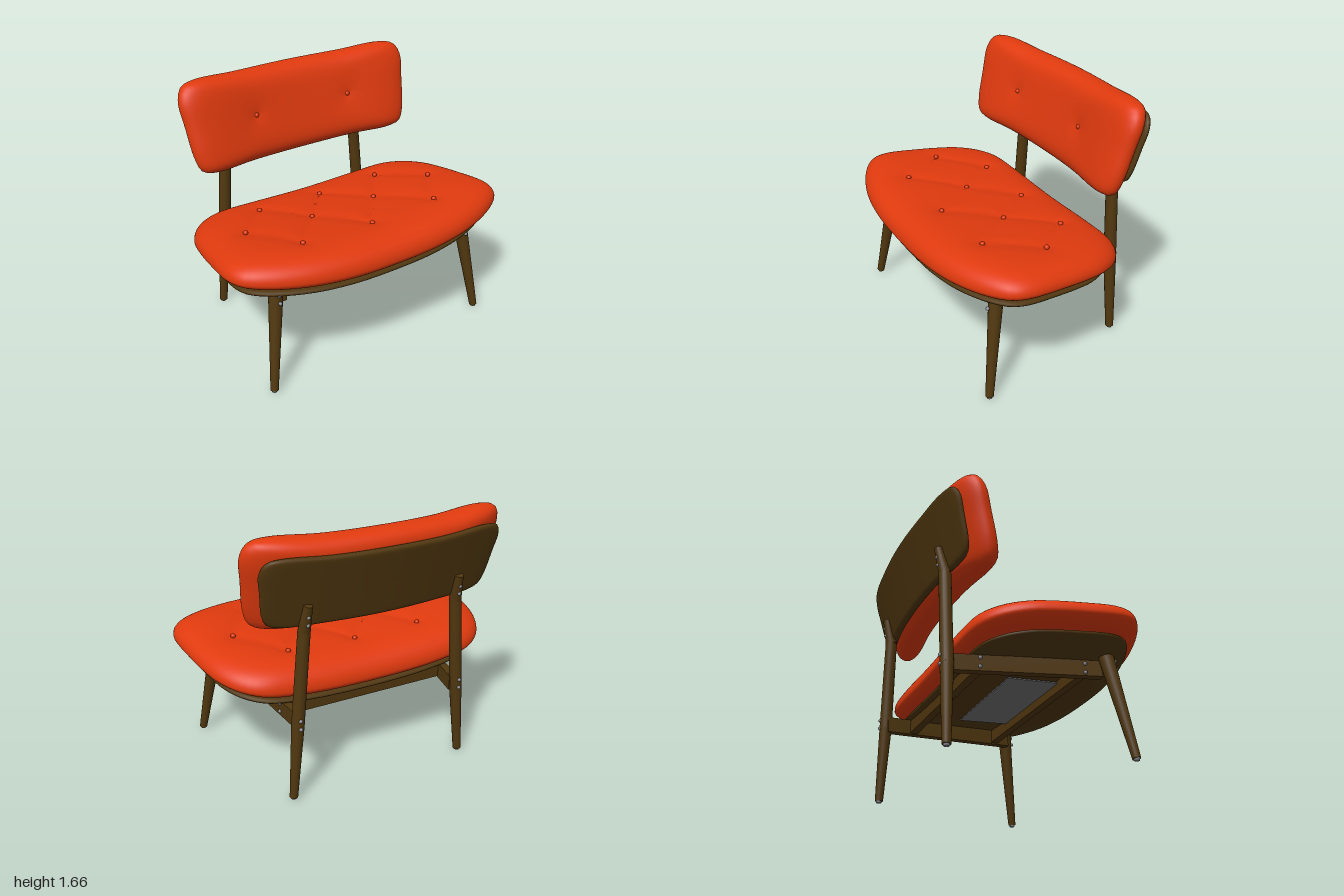
import * as THREE from 'three';

const mat = (name, color) => Object.assign(new THREE.MeshStandardMaterial({ color }), { name });

export function createModel() {
  const chair = new THREE.Group();
  chair.name = 'loungeChair';
  const fabric = mat('orangeFabric', 0xe03a0e);
  const wood = mat('darkWood', 0x50370f);
  const steel = mat('steel', 0x8c8c92);
  const lining = mat('greyLining', 0x757272);

  const add = (name, geo, material, pos = [0, 0, 0]) => {
    const m = new THREE.Mesh(geo, material);
    m.name = name;
    m.position.set(...pos);
    chair.add(m);
    return m;
  };

  // Closed outline mirrored from its +x half, listed bottom to top in (u, v)
  const outline = (half, n = 120) => {
    const mirrored = half.slice(1, -1).reverse().map(([u, v]) => [-u, v]);
    const pts = [...half, ...mirrored].map(([u, v]) => new THREE.Vector3(u, v, 0));
    return new THREE.CatmullRomCurve3(pts, true).getSpacedPoints(n).slice(0, n);
  };

  // Pillow surface: scaled outline rings running from upper centre over the rim to lower centre
  function pad({ edge, cv, su = 1, sv = 1, up, down, power, rings, place, dent = () => 0 }) {
    const pos = [], idx = [], n = edge.length;
    for (let j = 0; j <= rings; j++) {
      const a = (j / rings) * Math.PI;
      const s = Math.min(1, Math.sin(a));
      const k = Math.sqrt(Math.max(0, 1 - s ** power));
      edge.forEach((p, i) => {
        const u = p.x * s * su, v = cv + (p.y - cv) * s * sv;
        const h = a <= Math.PI / 2
          ? up[0] + (up[1] - up[0]) * k - dent(u, v) * k
          : up[0] + (down - up[0]) * k;
        pos.push(...place(u, v, h));
        const b = j * n + i, c = j * n + (i + 1) % n;
        if (j < rings) idx.push(b, b + n, c + n, b, c + n, c);
      });
    }
    const g = new THREE.BufferGeometry();
    g.setAttribute('position', new THREE.Float32BufferAttribute(pos, 3));
    g.setIndex(idx);
    g.computeVertexNormals();
    return g;
  }

  // Seat: dished across, sloping down to the back (u = x, v = -z, h = height)
  const seatMid = (x, z) => 0.695 + 0.08 * z + 0.07 * x * x;
  const seatPlace = (u, v, h) => [u, seatMid(u, -v) + h, -v];
  const seatEdge = outline([
    [0, -0.685], [0.35, -0.675], [0.62, -0.63], [0.85, -0.54], [0.965, -0.45], [1, -0.35],
    [0.985, -0.1], [0.965, 0.05], [0.93, 0.2], [0.85, 0.34], [0.73, 0.43], [0.5, 0.465], [0, 0.472],
  ]);

  // Tufting: buttons joined by diagonal creases
  const tufts = [
    [-0.46, -0.21], [0, -0.21], [0.46, -0.21],
    [-0.71, 0.06], [-0.24, 0.07], [0.24, 0.07], [0.71, 0.06],
    [-0.5, 0.37], [0, 0.38], [0.5, 0.37],
  ];
  const creases = [];
  tufts.forEach((a, i) => tufts.slice(i + 1).forEach((b) => {
    if (Math.abs(a[1] - b[1]) > 0.1 && Math.hypot(a[0] - b[0], a[1] - b[1]) < 0.42) creases.push([a, b]);
  }));
  const segDist = (x, z, [[ax, az], [bx, bz]]) => {
    const dx = bx - ax, dz = bz - az;
    const t = THREE.MathUtils.clamp(((x - ax) * dx + (z - az) * dz) / (dx * dx + dz * dz), 0, 1);
    return Math.hypot(x - ax - t * dx, z - az - t * dz);
  };
  const seatDent = (u, v) => {
    const line = Math.min(...creases.map((c) => segDist(u, -v, c)));
    const spot = Math.min(...tufts.map(([x, z]) => Math.hypot(u - x, -v - z)));
    return 0.016 * Math.exp(-line / 0.05) + 0.012 * Math.exp(-spot / 0.05);
  };
  add('seatCushion', pad({
    edge: seatEdge, cv: -0.1, up: [0, 0.15], down: -0.085, power: 6, rings: 84, place: seatPlace, dent: seatDent,
  }), fabric);
  add('seatBoard', pad({
    edge: seatEdge, cv: -0.1, su: 0.93, sv: 0.9, up: [-0.098, -0.075], down: -0.115, power: 30, rings: 26, place: seatPlace,
  }), wood);
  const buttonGeo = new THREE.SphereGeometry(0.016, 14, 10);
  for (const [x, z] of tufts) add('seatButton', buttonGeo, fabric, [x, seatMid(x, z) + 0.128, z]);

  // Backrest: leaning and bowed around the sitter (u = x, v = y, h = forward)
  const backZ = (x, y) => -0.46 - 0.28 * (y - 1.2) + 0.14 * x * x;
  const backPlace = (u, v, h) => [u, v + 0.2 * h, backZ(u, v) + h];
  const backEdge = outline([
    [0, 1.08], [0.4, 1.085], [0.68, 1.09], [0.765, 1.12], [0.8, 1.2], [0.825, 1.4],
    [0.838, 1.56], [0.8, 1.635], [0.71, 1.656], [0.4, 1.642], [0, 1.64],
  ]);
  const backDent = (u, v) => 0.02 * Math.exp(-Math.hypot(Math.abs(u) - 0.35, v - 1.37) / 0.06);
  add('backCushion', pad({
    edge: backEdge, cv: 1.37, up: [0, 0.12], down: -0.1, power: 6, rings: 72, place: backPlace, dent: backDent,
  }), fabric);
  add('backPanel', pad({
    edge: backEdge, cv: 1.365, su: 0.93, sv: 0.78, up: [-0.11, -0.085], down: -0.13, power: 30, rings: 26, place: backPlace,
  }), wood);

  // Frame helpers
  const Y = new THREE.Vector3(0, 1, 0);
  const rod = (name, a, b, ra, rb) => {
    const p = new THREE.Vector3(...a), d = new THREE.Vector3(...b).sub(p);
    const m = add(name, new THREE.CylinderGeometry(rb, ra, d.length(), 20), wood);
    m.position.copy(p).addScaledVector(d, 0.5);
    m.quaternion.setFromUnitVectors(Y, d.normalize());
  };
  const boltGeo = new THREE.SphereGeometry(0.012, 10, 8);
  const bolt = (x, y, z) => add('bolt', boltGeo, steel, [x, y, z]);
  const footGeo = new THREE.CylinderGeometry(0.02, 0.016, 0.016, 16);

  for (const s of [1, -1]) {
    add('backButton', buttonGeo, fabric, [s * 0.35, 1.39, backZ(0.35, 1.37) + 0.1]);

    // Legs with small glides
    rod('frontLeg', [s * 0.805, 0.012, 0.5], [s * 0.712, 0.655, 0.4], 0.025, 0.046);
    rod('rearLegLower', [s * 0.597, 0.012, -0.545], [s * 0.557, 0.5, -0.54], 0.026, 0.04);
    rod('rearLegUpper', [s * 0.557, 0.5, -0.54], [s * 0.51, 1.1, -0.548], 0.04, 0.038);
    rod('rearLegTip', [s * 0.51, 1.1, -0.548], [s * 0.5, 1.27, -0.59], 0.038, 0.026);
    add('foot', footGeo, steel, [s * 0.805, 0.008, 0.5]);
    add('foot', footGeo, steel, [s * 0.597, 0.008, -0.545]);

    // Side rail
    const a = new THREE.Vector3(s * 0.66, 0.588, 0.39), b = new THREE.Vector3(s * 0.535, 0.512, -0.54);
    const rail = add('sideRail', new THREE.BoxGeometry(0.05, 0.1, a.distanceTo(b)), wood);
    rail.position.copy(a).add(b).multiplyScalar(0.5);
    rail.lookAt(a);

    // Bolts
    for (const y of [0.58, 0.63]) bolt(s * 0.72, y, 0.41 + 0.045 + (0.63 - y) * 0.15);
    for (const y of [0.55, 0.605]) bolt(s * 0.672, y, 0.28);
    for (const y of [0.505, 0.56]) bolt(s * 0.587, y, -0.35);
    for (const y of [0.49, 0.545]) bolt(s * 0.556, y, -0.58);
    for (const y of [1.15, 1.2]) bolt(s * 0.505, y, -0.592 - (y - 1.15) * 0.15);
  }

  // Cross rails and the lining under the seat
  add('frontCrossRail', new THREE.BoxGeometry(1.28, 0.085, 0.05), wood, [0, 0.58, 0.28]);
  add('rearCrossRail', new THREE.BoxGeometry(1.12, 0.085, 0.05), wood, [0, 0.525, -0.35]);
  const plate = add('seatLining', new THREE.BoxGeometry(0.76, 0.008, 0.34), lining, [0, 0.583, 0.09]);
  plate.rotation.x = -0.08;

  return chair;
}
